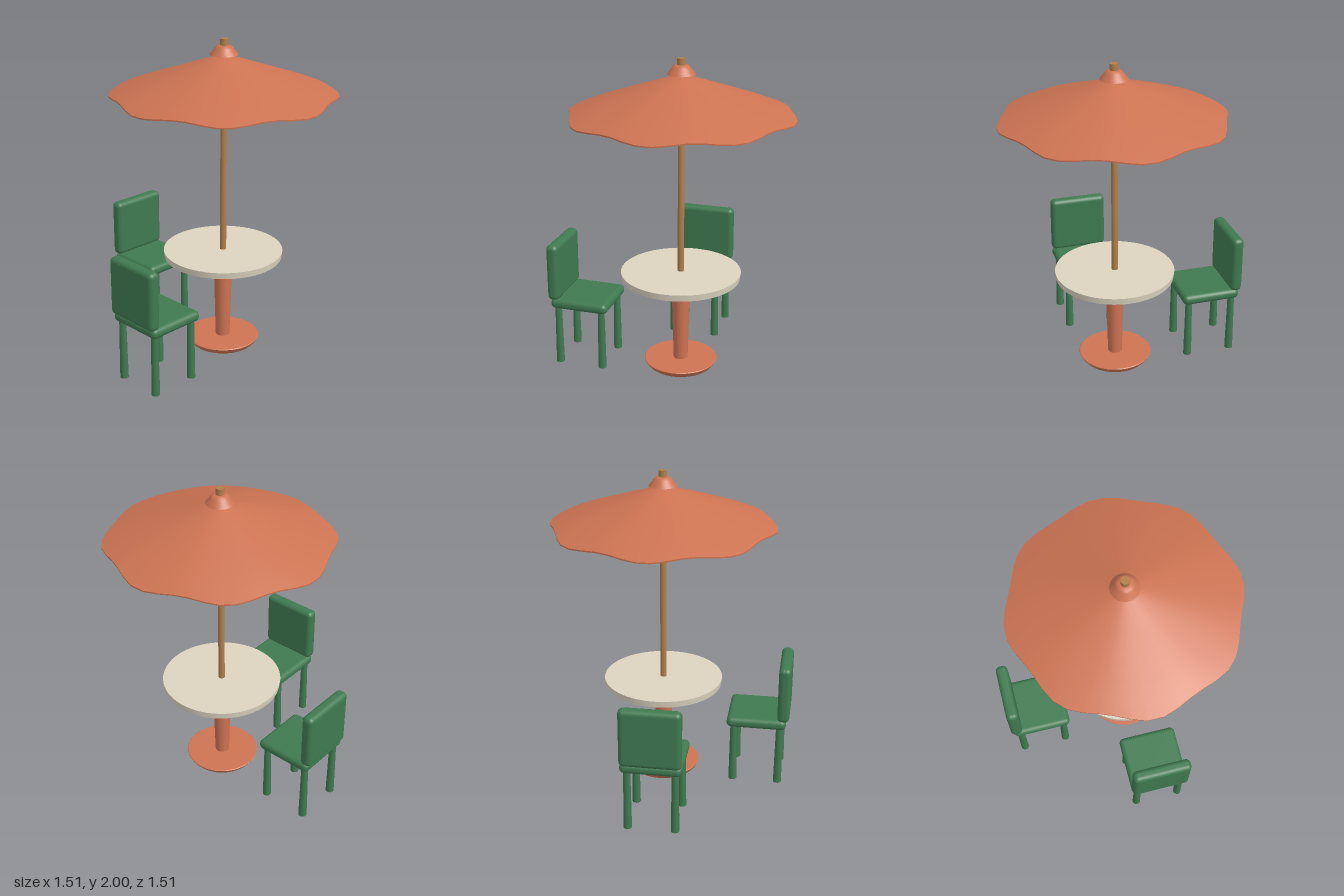
import * as THREE from 'three';
import { toCreasedNormals } from 'three/addons/utils/BufferGeometryUtils.js';
import { RoundedBoxGeometry } from 'three/addons/geometries/RoundedBoxGeometry.js';

const mat = (name, color) => {
  const m = new THREE.MeshStandardMaterial({ color });
  m.name = name;
  return m;
};

export function createModel() {
  const terracotta = mat('terracotta', 0xcc7352);
  const green = mat('chairGreen', 0x3f7a50);
  const cream = mat('creamTop', 0xdcd4c0);
  const wood = mat('wood', 0xb07f4c);

  const model = new THREE.Group();
  model.name = 'patioSet';
  // Everything is laid out around the umbrella pole
  const set = new THREE.Group();
  set.name = 'tableAndChairs';
  set.position.set(0.062, 0, 0.062);
  model.add(set);

  const add = (parent, name, geo, material, x = 0, y = 0, z = 0) => {
    const mesh = new THREE.Mesh(geo, material);
    mesh.name = name;
    mesh.position.set(x, y, z);
    parent.add(mesh);
    return mesh;
  };
  const lathe = (pts, segments, phi = 0) =>
    new THREE.LatheGeometry(pts.map(([r, y]) => new THREE.Vector2(r, y)), segments, phi);
  const rod = (top, bottom, y0, y1, segments = 24) =>
    new THREE.CylinderGeometry(top, bottom, y1 - y0, segments).translate(0, (y0 + y1) / 2, 0);

  // Table
  const base = lathe([[0, 0], [0.175, 0], [0.205, 0.015], [0.222, 0.034], [0.232, 0.052], [0.228, 0.056], [0, 0.056]], 48);
  add(set, 'base', toCreasedNormals(base, 0.6), terracotta);
  add(set, 'column', rod(0.06, 0.045, 0.05, 0.62, 32), terracotta);
  add(set, 'tabletop', rod(0.375, 0.37, 0.615, 0.656, 64), cream);

  // Umbrella: eight ribs pull the rim outward and down
  add(set, 'pole', rod(0.02, 0.02, 0.6, 1.95), wood);
  const rim = 0.675, steps = 8, thick = 0.008, profile = [];
  const slope = (t) => 1.912 - 0.236 * t - 0.006 * t ** 8;
  for (let i = 0; i <= steps; i++) profile.push([rim * i / steps, slope(i / steps) - thick]);
  for (let i = steps; i >= 0; i--) profile.push([rim * i / steps, slope(i / steps)]);
  const canopy = lathe(profile, 48, Math.PI / 48);
  const p = canopy.attributes.position;
  for (let i = 0; i < p.count; i++) {
    const x = p.getX(i), z = p.getZ(i);
    const t = Math.hypot(x, z) / rim;
    const wave = Math.cos(8 * Math.atan2(z, x));
    const k = 1 + 0.027 * wave * t * t;
    p.setXYZ(i, x * k, p.getY(i) - 0.008 * wave * t * t, z * k);
  }
  add(set, 'canopy', toCreasedNormals(canopy, 0.7), terracotta);
  const cap = lathe([[0, 1.905], [0.086, 1.905], [0.07, 1.925], [0.056, 1.945], [0.046, 1.956], [0.034, 1.961], [0, 1.961]], 32);
  add(set, 'canopyCap', toCreasedNormals(cap, 0.7), terracotta);
  add(set, 'finial', rod(0.025, 0.025, 1.95, 2), wood);

  // Chairs, one behind the table and one turned a quarter round it
  const buildChair = (name, turn) => {
    const chair = new THREE.Group();
    chair.name = name;
    chair.rotation.y = turn;
    set.add(chair);
    const cx = -0.047;
    add(chair, 'seat', new RoundedBoxGeometry(0.372, 0.066, 0.375, 4, 0.03), green, cx, 0.417, -0.61);
    add(chair, 'backrest', new RoundedBoxGeometry(0.372, 0.37, 0.076, 4, 0.03), green, cx, 0.625, -0.779);
    for (const side of [-1, 1]) {
      for (const z of [-0.757, -0.467]) add(chair, 'leg', rod(0.021, 0.026, 0, 0.4, 20), green, cx + side * 0.144, 0, z);
    }
  };
  buildChair('backChair', 0);
  buildChair('sideChair', Math.PI / 2);

  return model;
}
